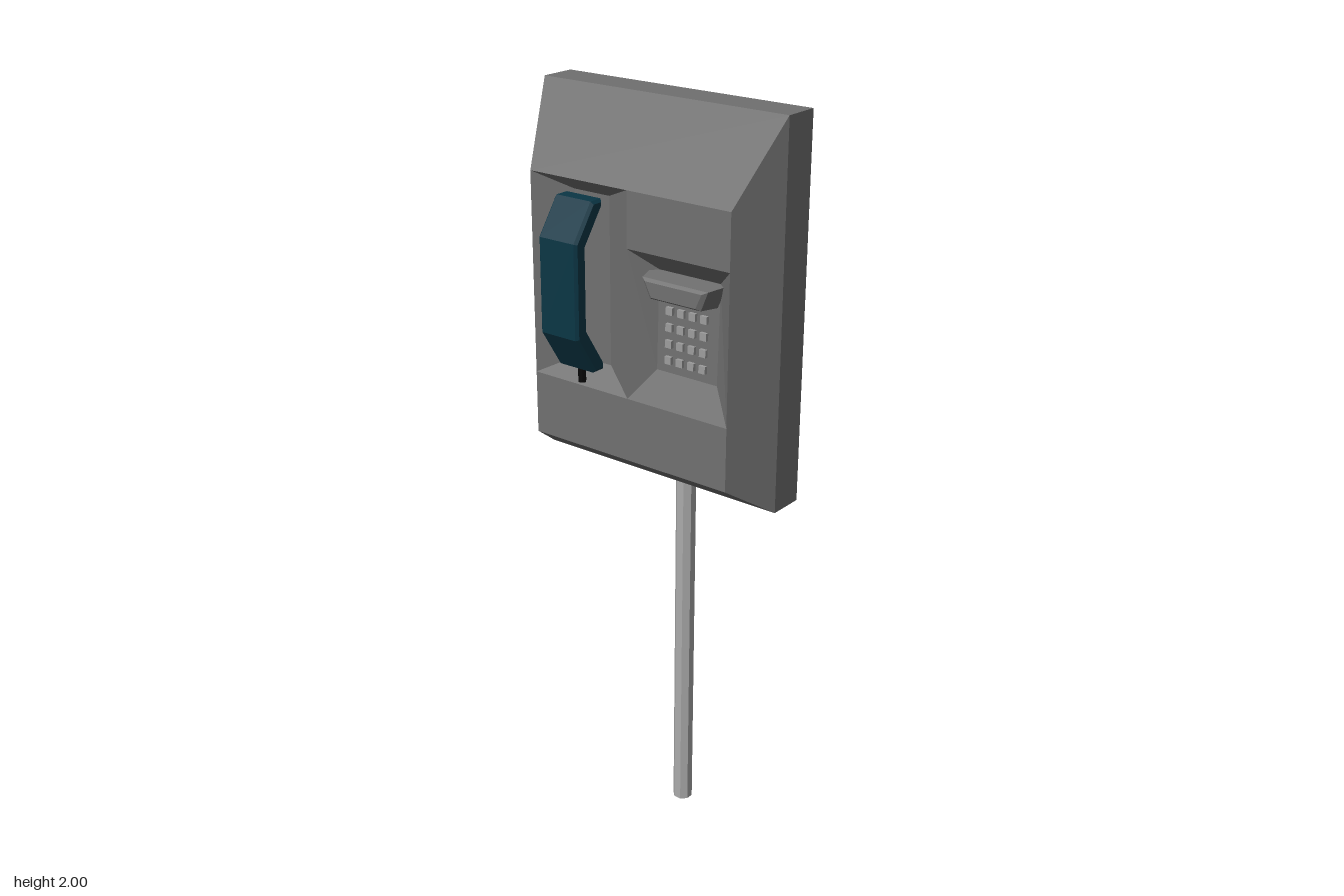
import * as THREE from 'three';

const paint = (color) => new THREE.MeshStandardMaterial({ color, flatShading: true });
const darkGrey = paint(0x707070);
const keyGrey = paint(0x9c9c9c);
const postGrey = paint(0xaaaaaa);
postGrey.side = THREE.DoubleSide;
const blue = paint(0x0b3645);
const black = paint(0x060606);

function add(parent, name, geometry, material) {
  const mesh = new THREE.Mesh(geometry, material);
  mesh.name = name;
  parent.add(mesh);
  return mesh;
}

// Four corners, counter-clockwise from bottom left; top edge may sit at another depth
function loop(x0, x1, y0, y1, z0, z1 = z0) {
  return [[x0, y0, z0], [x1, y0, z0], [x1, y1, z1], [x0, y1, z1]];
}

// Walls joining a back loop to a front loop, facing outwards
function walls(back, front) {
  return back.map((p, i) => {
    const j = (i + 1) % 4;
    return [p, back[j], front[j], front[i]];
  });
}

// Sunken tray: walls face inwards, floor faces front
function tray(rim, floor) {
  return [...walls(floor, rim).map((q) => [...q].reverse()), floor];
}

function fromQuads(quads) {
  const pos = [];
  for (const [a, b, c, d] of quads) pos.push(...a, ...b, ...c, ...a, ...c, ...d);
  const g = new THREE.BufferGeometry();
  g.setAttribute('position', new THREE.Float32BufferAttribute(pos, 3));
  g.computeVertexNormals();
  return g;
}

export function createModel() {
  const group = new THREE.Group();
  group.name = 'payPhone';
  const zf = 0.077;

  // Housing: box back, sloping bevel, front plate around two sunken trays
  const back = loop(-0.36, 0.36, 1.03, 2.0, -0.145);
  const mid = loop(-0.36, 0.36, 1.03, 2.0, -0.05);
  const front = loop(-0.3, 0.3, 1.115, 1.8, zf);
  add(group, 'housing', fromQuads([
    [...back].reverse(),
    ...walls(back, mid),
    ...walls(mid, front),
    loop(-0.3, 0.3, 1.115, 1.28, zf),
    loop(0, 0.3, 1.66, 1.8, zf),
  ]), darkGrey);
  add(group, 'handsetRecess', fromQuads(tray(
    loop(-0.3, 0, 1.28, 1.8, zf), loop(-0.205, -0.095, 1.33, 1.76, 0.025))), darkGrey);
  add(group, 'keypadRecess', fromQuads(tray(
    loop(0, 0.3, 1.28, 1.66, zf), loop(0.06, 0.24, 1.36, 1.61, 0.036, 0.028))), darkGrey);

  // Hood above the keypad, with a narrow bevel round its face
  const hoodBack = [[0.07, 1.55, 0.02], [0.235, 1.55, 0.02], [0.265, 1.61, 0.02], [0.035, 1.61, 0.02]];
  const hoodMid = [[0.077, 1.556, 0.085], [0.226, 1.556, 0.085], [0.246, 1.605, 0.085], [0.054, 1.605, 0.085]];
  const hoodFront = [[0.085, 1.561, 0.092], [0.215, 1.561, 0.092], [0.232, 1.598, 0.092], [0.066, 1.598, 0.092]];
  add(group, 'keypadHood', fromQuads([
    ...walls(hoodBack, hoodMid), ...walls(hoodMid, hoodFront), hoodFront]), darkGrey);

  // Keypad buttons following the tilted floor
  const keypad = new THREE.Group();
  keypad.name = 'keypad';
  group.add(keypad);
  for (let r = 0; r < 4; r++) {
    for (let c = 0; c < 4; c++) {
      const y = 1.393 + r * 0.041;
      const key = add(keypad, 'key', new THREE.BoxGeometry(0.019, 0.019, 0.014), keyGrey);
      key.position.set(0.098 + c * 0.034, y, 0.038 - (y - 1.36) * 0.032);
      key.rotation.x = -0.032;
    }
  }

  // Handset: bent bar profile in (z, y), extruded across the width
  const profile = [
    [0.055, 1.76], [0.092, 1.76], [0.156, 1.67], [0.156, 1.43], [0.092, 1.33],
    [0.055, 1.33], [0.055, 1.348], [0.117, 1.445], [0.117, 1.655], [0.055, 1.742],
  ];
  const shape = new THREE.Shape(profile.map(([z, y]) => new THREE.Vector2(-z, y)));
  const handset = add(group, 'handset', new THREE.ExtrudeGeometry(shape, {
    depth: 0.106, bevelEnabled: true, bevelSegments: 1,
    bevelThickness: 0.007, bevelSize: 0.007, bevelOffset: -0.007,
  }), blue);
  handset.rotation.y = Math.PI / 2;
  handset.position.x = -0.203;

  // Short cord below the handset
  const cord = add(group, 'cord', new THREE.CylinderGeometry(0.01, 0.01, 0.06, 8), black);
  cord.position.set(-0.15, 1.318, 0.072);

  // Octagonal hollow post, closed at the top and open at the foot
  const outline = [[0.027, 0], [0.027, 1.29], [0, 1.29]].map(([x, y]) => new THREE.Vector2(x, y));
  const post = add(group, 'post', new THREE.LatheGeometry(outline, 8), postGrey);
  post.rotation.y = Math.PI / 8;
  post.position.set(0.025, 0, -0.132);

  return group;
}
